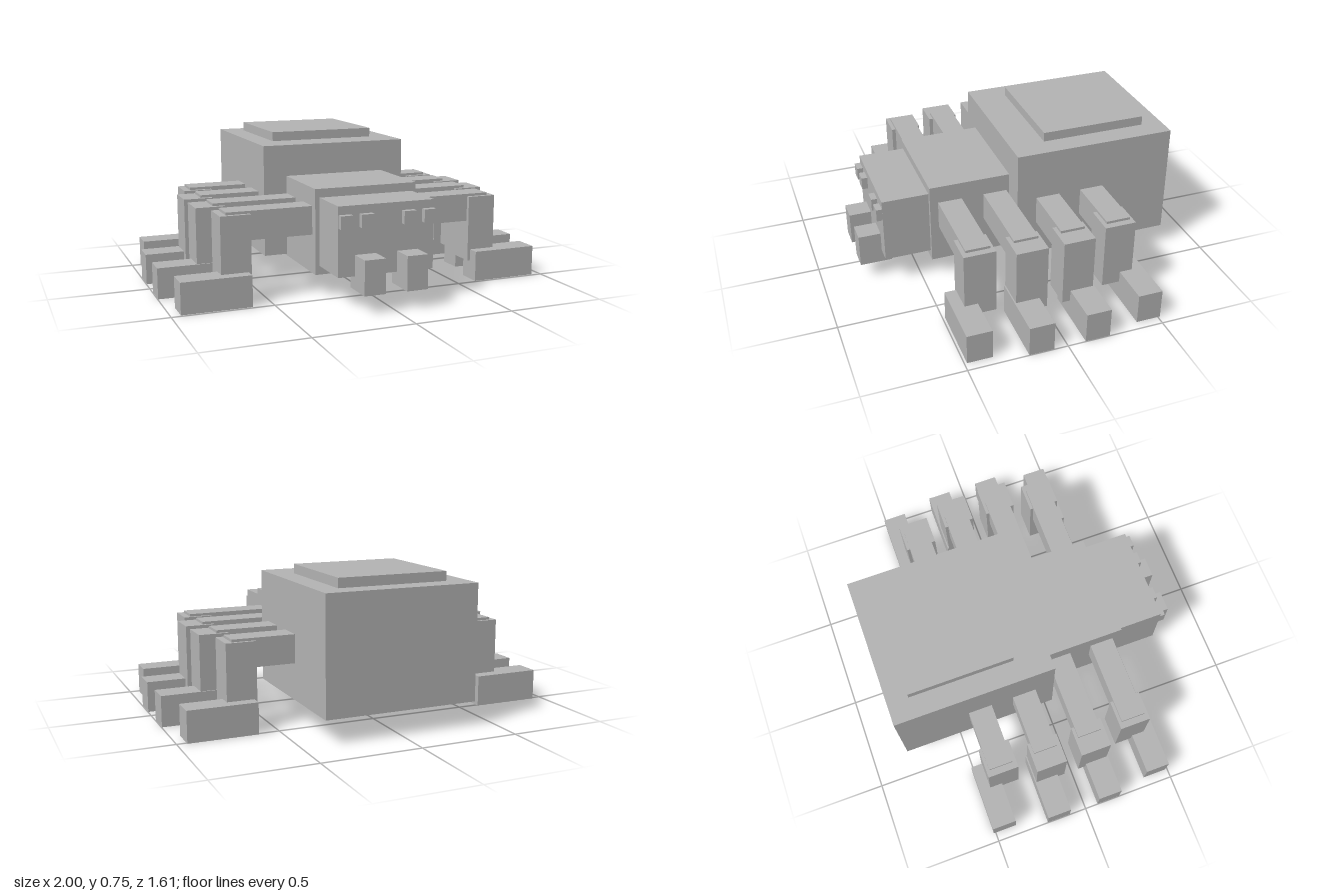
import * as THREE from 'three';

export function createModel() {
  const model = new THREE.Group();
  model.name = 'blockSpider';
  const grey = new THREE.MeshStandardMaterial({ color: 0xb3b3b3 });
  grey.name = 'grey';

  // Adds a box given its [min, max] extents on each axis
  function box(parent, name, [x0, x1], [y0, y1], [z0, z1]) {
    const mesh = new THREE.Mesh(new THREE.BoxGeometry(x1 - x0, y1 - y0, z1 - z0), grey);
    mesh.position.set((x0 + x1) / 2, (y0 + y1) / 2, (z0 + z1) / 2);
    mesh.name = name;
    parent.add(mesh);
  }

  // Body
  const body = new THREE.Group();
  body.name = 'body';
  body.position.x = -0.003;
  model.add(body);
  box(body, 'abdomen', [-0.393, 0.393], [0.122, 0.702], [-0.805, 0.03]);
  box(body, 'abdomenPlate', [-0.283, 0.283], [0.70, 0.75], [-0.695, -0.15]);
  box(body, 'thorax', [-0.27, 0.27], [0.113, 0.54], [-0.053, 0.45]);
  box(body, 'head', [-0.248, 0.248], [0.157, 0.497], [0.44, 0.688]);

  // Eyes and fangs, mirrored
  for (const [side, s] of [['left', 1], ['right', -1]]) {
    const span = (a, b) => (s > 0 ? [a, b] : [-b, -a]);
    box(body, side + 'OuterEye', span(0.184, 0.246), [0.392, 0.456], [0.66, 0.718]);
    box(body, side + 'InnerEye', span(0.078, 0.141), [0.392, 0.456], [0.66, 0.718]);
    box(body, side + 'Fang', span(0.055, 0.163), [0.09, 0.26], [0.637, 0.802]);
  }

  // Four legs a side: z centres of thigh, shin and foot; x of shin and foot
  const legs = [
    { name: 'Front', thigh: 0.346, shin: 0.348, foot: 0.424, shinX: 0.59, footX: 0.605 },
    { name: 'MidFront', thigh: 0.107, shin: 0.109, foot: 0.133, shinX: 0.648, footX: 0.651 },
    { name: 'MidBack', thigh: -0.133, shin: -0.131, foot: -0.155, shinX: 0.648, footX: 0.651 },
    { name: 'Back', thigh: -0.373, shin: -0.371, foot: -0.448, shinX: 0.59, footX: 0.605 },
  ];
  for (const [side, s] of [['left', 1], ['right', -1]]) {
    const span = (a, b) => (s > 0 ? [a, b] : [-b, -a]);
    const around = (c, half) => [c - half, c + half];
    for (const l of legs) {
      const leg = new THREE.Group();
      leg.name = side + l.name + 'Leg';
      model.add(leg);
      box(leg, 'thigh', span(0.22, 0.707), [0.307, 0.45], around(l.thigh, 0.062));
      box(leg, 'shin', span(l.shinX, l.shinX + 0.151), [0.097, 0.437], around(l.shin, 0.08));
      box(leg, 'foot', span(l.footX, l.footX + 0.347), [0, 0.156], around(l.foot, 0.063));
    }
  }
  return model;
}
